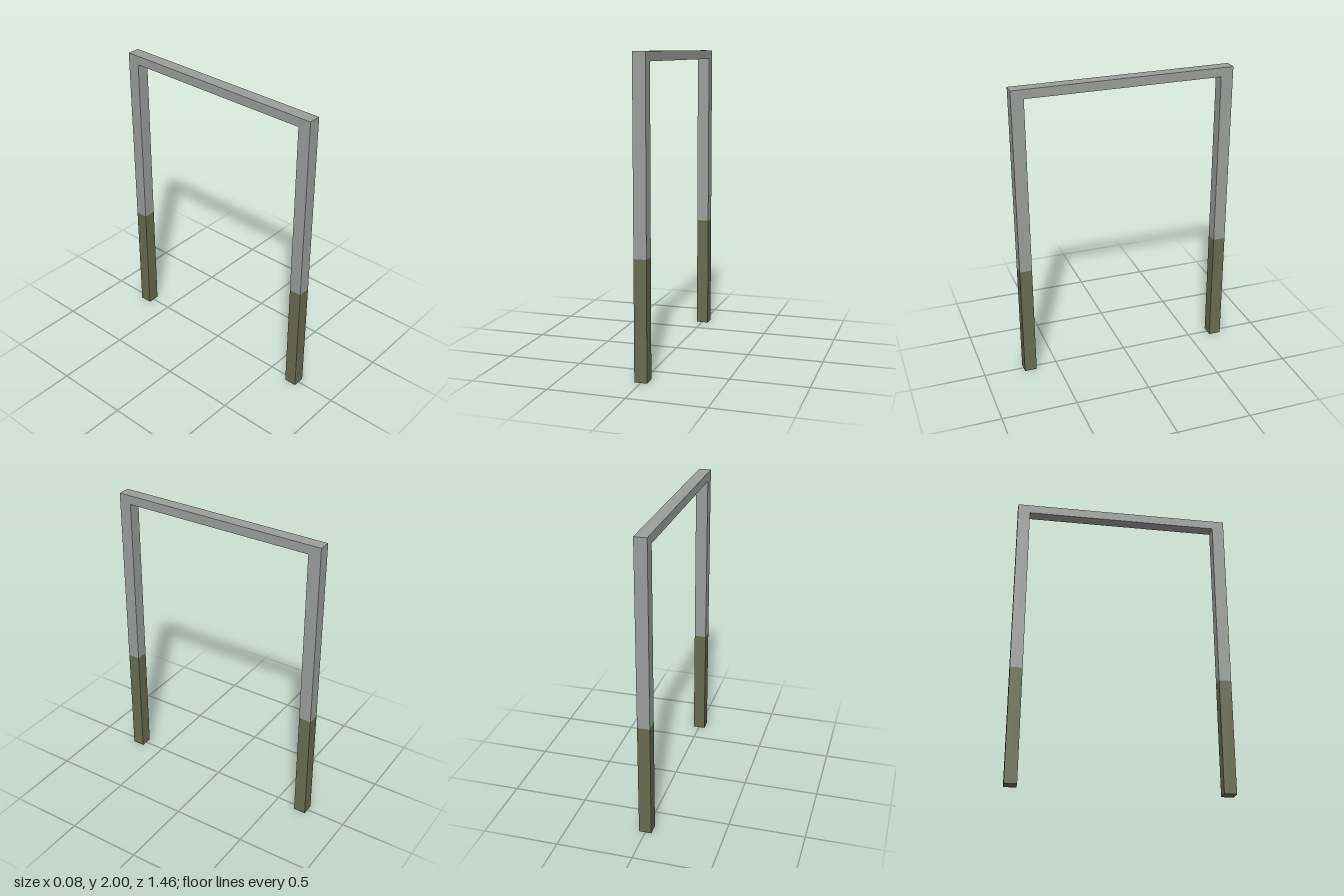
import * as THREE from 'three';

export function createModel() {
  const group = new THREE.Group();
  group.name = 'doorFrame';

  const greyPaint = new THREE.MeshStandardMaterial({ color: 0x999f9c });
  greyPaint.name = 'greyPaint';
  const olivePaint = new THREE.MeshStandardMaterial({ color: 0x686b51 });
  olivePaint.name = 'olivePaint';

  const width = 0.082, halfDepth = 0.73, height = 2;
  const split = 0.77, beamBottom = 1.94;
  const inner = halfDepth - width;

  // Upper frame: one arch-shaped piece, so the joints stay seamless
  const arch = new THREE.Shape([
    [-halfDepth, split], [-inner, split], [-inner, beamBottom], [inner, beamBottom],
    [inner, split], [halfDepth, split], [halfDepth, height], [-halfDepth, height],
  ].map(([z, y]) => new THREE.Vector2(z, y)));
  const archGeometry = new THREE.ExtrudeGeometry(arch, { depth: width, bevelEnabled: false });
  archGeometry.translate(0, 0, -width / 2);
  archGeometry.rotateY(Math.PI / 2);
  const upperFrame = new THREE.Mesh(archGeometry, greyPaint);
  upperFrame.name = 'upperFrame';
  group.add(upperFrame);

  // Lower posts, front and back
  const postGeometry = new THREE.BoxGeometry(width, split, width);
  for (const side of [1, -1]) {
    const post = new THREE.Mesh(postGeometry, olivePaint);
    post.name = side > 0 ? 'frontLowerPost' : 'backLowerPost';
    post.position.set(0, split / 2, side * (halfDepth - width / 2));
    group.add(post);
  }

  return group;
}
